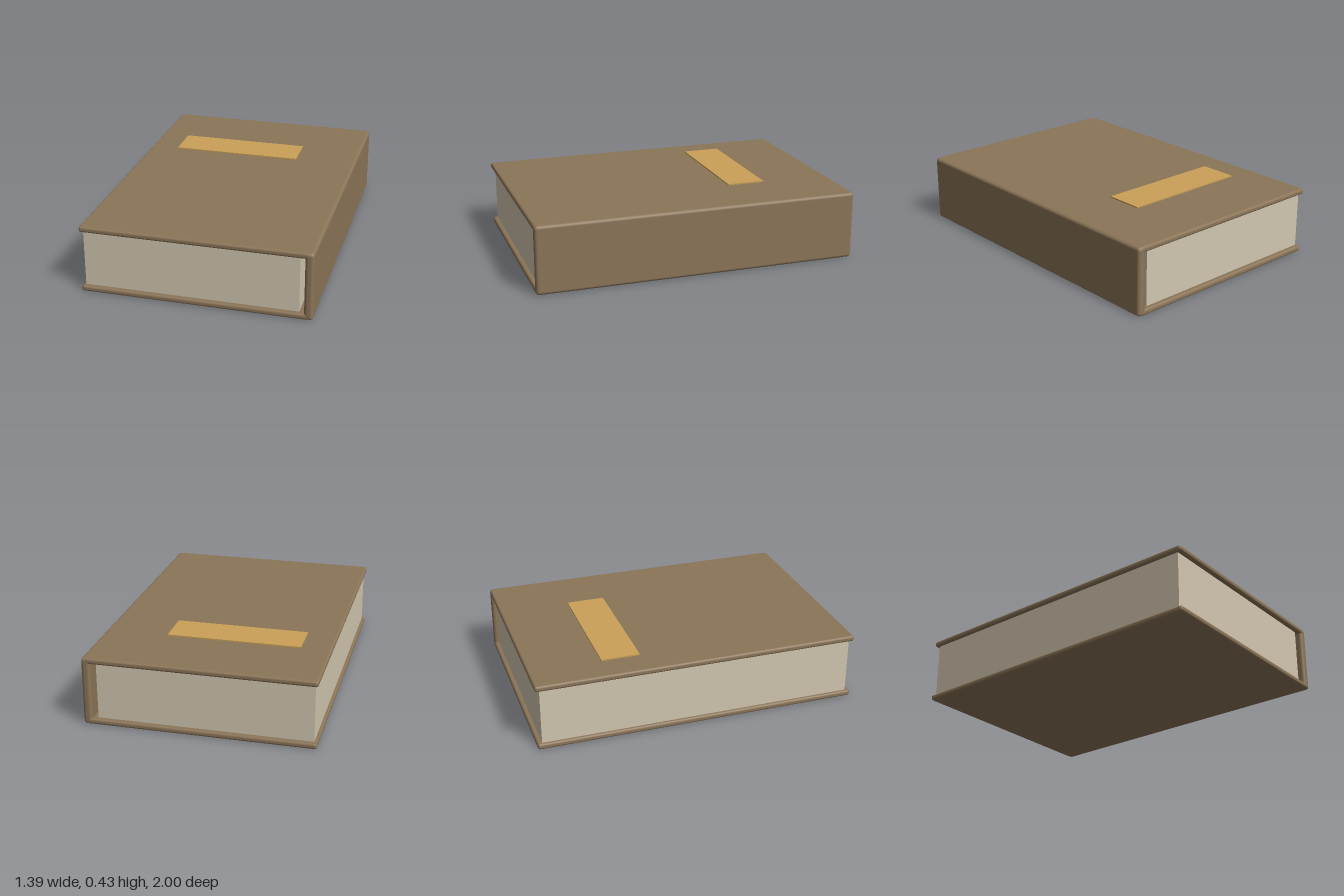
import * as THREE from 'three';
import { RoundedBoxGeometry } from 'three/addons/geometries/RoundedBoxGeometry.js';

export function createModel() {
  const book = new THREE.Group();
  book.name = 'book';

  const material = (name, color) => {
    const m = new THREE.MeshStandardMaterial({ color });
    m.name = name;
    return m;
  };
  const leather = material('brown leather', 0x8b7558);
  const paper = material('cream paper', 0xd2c6b0);
  const gold = material('dull gold', 0xc9a057);

  // Adds a box spanning the given ranges; a radius rounds its edges
  const addBox = (name, mat, [x0, x1], [y0, y1], [z0, z1], radius = 0) => {
    const size = [x1 - x0, y1 - y0, z1 - z0];
    const geometry = radius
      ? new RoundedBoxGeometry(...size, 4, radius)
      : new THREE.BoxGeometry(...size);
    const mesh = new THREE.Mesh(geometry, mat);
    mesh.name = name;
    mesh.position.set((x0 + x1) / 2, (y0 + y1) / 2, (z0 + z1) / 2);
    book.add(mesh);
  };

  // Hard covers joined by the spine on the model's left
  addBox('backCover', leather, [-0.695, 0.67], [0, 0.036], [-1, 1], 0.014);
  addBox('frontCover', leather, [-0.695, 0.67], [0.384, 0.42], [-1, 1], 0.014);
  addBox('spine', leather, [0.64, 0.693], [0, 0.42], [-1, 1], 0.02);

  // Page block, set in from the covers with a gap before the spine
  addBox('pages', paper, [-0.677, 0.61], [0.034, 0.386], [-0.972, 0.972]);

  // Blank title plate on the front cover
  addBox('titlePlate', gold, [-0.513, 0.303], [0.419, 0.428], [-0.56, -0.323]);

  return book;
}
